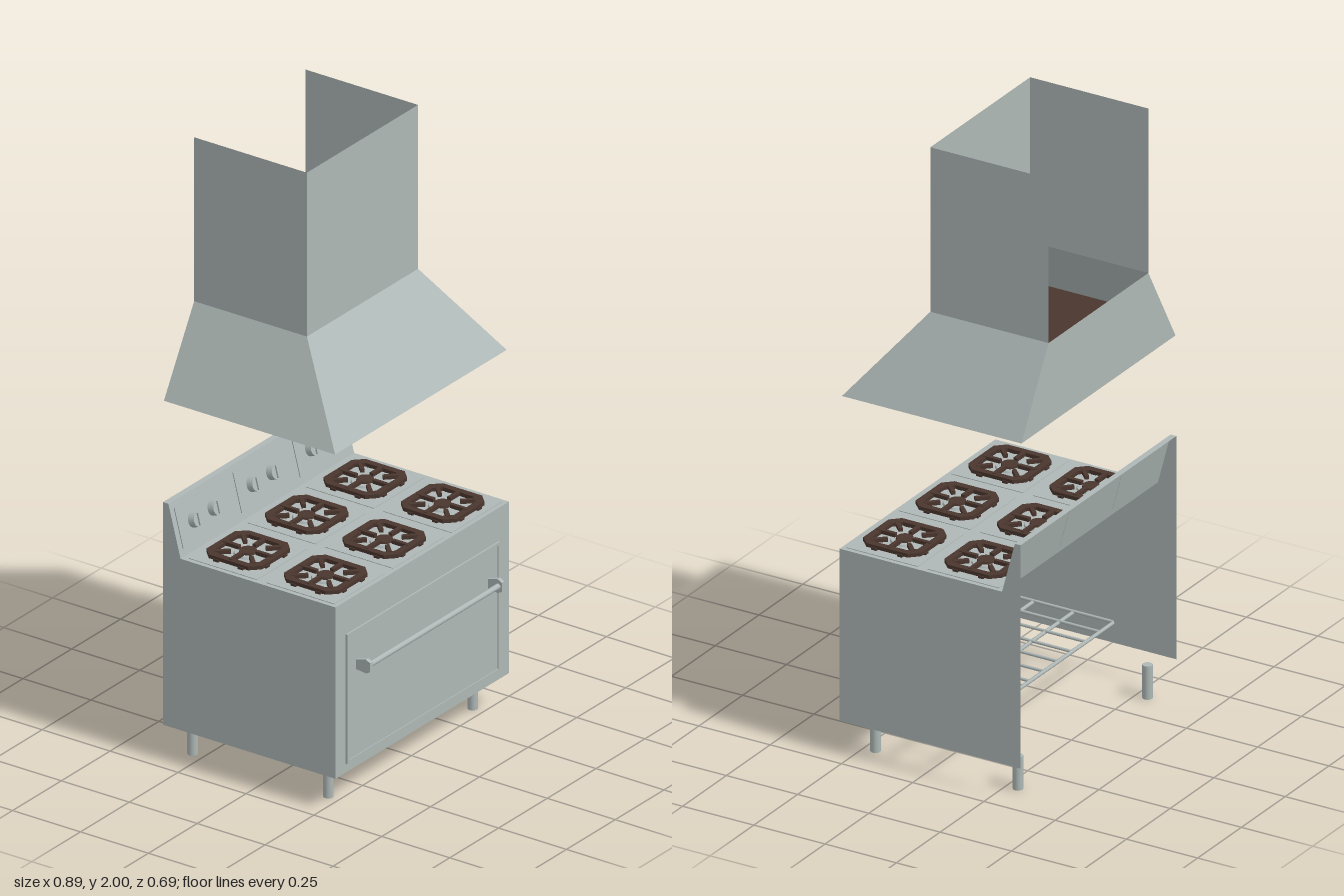
import * as THREE from 'three';

const steel = new THREE.MeshStandardMaterial({ color: 0xaeb8b6, side: THREE.DoubleSide });
steel.name = 'steel';
const iron = new THREE.MeshStandardMaterial({ color: 0x4a362e, side: THREE.DoubleSide });
iron.name = 'brown iron';

function add(parent, name, geo, mat, x = 0, y = 0, z = 0) {
  const m = new THREE.Mesh(geo, mat);
  m.name = name;
  m.position.set(x, y, z);
  parent.add(m);
  return m;
}

const box = (parent, name, w, h, d, x, y, z, mat = steel) =>
  add(parent, name, new THREE.BoxGeometry(w, h, d), mat, x, y, z);

// Flat sheet: a fan of triangles around the first corner
function sheet(parent, name, pts) {
  const pos = [];
  for (let i = 1; i < pts.length - 1; i++) pos.push(...pts[0], ...pts[i], ...pts[i + 1]);
  const g = new THREE.BufferGeometry();
  g.setAttribute('position', new THREE.Float32BufferAttribute(pos, 3));
  g.computeVertexNormals();
  return add(parent, name, g, steel);
}

// Rectangular border in the local xy plane
function border(parent, name, w, h, t, d, x, y, z) {
  for (const s of [-1, 1]) {
    box(parent, name, w, t, d, x, y + s * (h - t) / 2, z);
    box(parent, name, t, h - 2 * t, d, x + s * (w - t) / 2, y, z);
  }
}

function group(parent, name, x = 0, y = 0, z = 0) {
  const g = new THREE.Group();
  g.name = name;
  g.position.set(x, y, z);
  parent.add(g);
  return g;
}

// Outline of a square with chamfered corners
function chamfered(P, half, cut) {
  const a = half, b = half - cut;
  return new P([[a, -b], [a, b], [b, a], [-b, a], [-a, b], [-a, -b], [-b, -a], [b, -a]]
    .map(p => new THREE.Vector2(...p)));
}

// Grate with its burner
function burner(parent, x, z) {
  const g = group(parent, 'burner', x, 0.68, z);
  const frame = chamfered(THREE.Shape, 0.102, 0.03);
  frame.holes.push(chamfered(THREE.Path, 0.08, 0.024));
  const geo = new THREE.ExtrudeGeometry(frame, { depth: 0.012, bevelEnabled: false });
  geo.rotateX(-Math.PI / 2);
  add(g, 'grateFrame', geo, iron, 0, 0.006, 0);
  for (let i = 0; i < 8; i++) {
    const arm = group(g, 'grateArm');
    arm.rotation.y = i * Math.PI / 4;
    const long = i % 2 === 0;
    box(arm, 'grateFinger', long ? 0.062 : 0.05, 0.012, 0.013, long ? 0.062 : 0.078, 0.014, 0, iron);
    if (long) {
      box(arm, 'grateFoot', 0.02, 0.01, 0.018, 0.095, 0.005, 0.045, iron);
      box(arm, 'grateFoot', 0.02, 0.01, 0.018, 0.095, 0.005, -0.045, iron);
    }
  }
  add(g, 'burnerBase', new THREE.CylinderGeometry(0.042, 0.046, 0.008, 20), steel, 0, 0.004, 0);
  add(g, 'burnerCap', new THREE.CylinderGeometry(0.026, 0.028, 0.008, 20), iron, 0, 0.011, 0);
}

function buildStove() {
  const stove = new THREE.Group();
  stove.name = 'stove';
  const W = 0.445, F = 0.29, B = -0.345;

  // Open-backed shell
  for (const s of [-1, 1]) {
    sheet(stove, 'sidePanel', [[B, 0.11], [F, 0.11], [F, 0.68], [-0.28, 0.68], [-0.325, 0.85], [B, 0.85]]
      .map(([z, y]) => [s * W, y, z]));
  }
  sheet(stove, 'frontPanel', [[-W, 0.11, F], [W, 0.11, F], [W, 0.68, F], [-W, 0.68, F]]);
  sheet(stove, 'cooktop', [[-W, 0.68, F], [W, 0.68, F], [W, 0.68, -0.28], [-W, 0.68, -0.28]]);
  sheet(stove, 'splashbackTop', [[-W, 0.85, -0.325], [W, 0.85, -0.325], [W, 0.85, B], [-W, 0.85, B]]);
  sheet(stove, 'splashback', [[-W, 0.68, -0.28], [W, 0.68, -0.28], [W, 0.85, -0.325], [-W, 0.85, -0.325]]);

  // Burners over shallow pans
  for (const x of [-0.3, 0, 0.3]) {
    for (const z of [0.15, -0.135]) {
      box(stove, 'burnerPan', 0.26, 0.012, 0.25, x, 0.676, z);
      burner(stove, x, z);
    }
  }

  // Knobs on the sloping splashback
  const panel = group(stove, 'controlPanel', 0, 0.68, -0.28);
  panel.rotation.x = -Math.atan2(0.045, 0.17);
  for (const x of [-0.3, 0, 0.3]) {
    box(panel, 'knobPlate', 0.25, 0.13, 0.004, x, 0.09, 0.001);
    for (const s of [-1, 1]) {
      const knob = add(panel, 'knob', new THREE.CylinderGeometry(0.024, 0.027, 0.022, 20), steel, x + s * 0.05, 0.092, 0.012);
      knob.rotation.x = Math.PI / 2;
      box(panel, 'knobGrip', 0.008, 0.04, 0.006, x + s * 0.05, 0.092, 0.025);
    }
  }

  // Oven door and handle
  box(stove, 'ovenDoor', 0.765, 0.41, 0.004, 0, 0.355, F + 0.001);
  border(stove, 'doorBorder', 0.785, 0.43, 0.01, 0.008, 0, 0.355, F + 0.002);
  const bar = add(stove, 'handleBar', new THREE.CylinderGeometry(0.009, 0.009, 0.68, 14), steel, 0, 0.455, 0.331);
  bar.rotation.z = Math.PI / 2;
  for (const s of [-1, 1]) {
    const shape = new THREE.Shape([[0.29, 0.437], [0.33, 0.432], [0.345, 0.44], [0.345, 0.47], [0.33, 0.478], [0.29, 0.468]]
      .map(([z, y]) => new THREE.Vector2(-z, y)));
    const geo = new THREE.ExtrudeGeometry(shape, { depth: 0.013, bevelEnabled: false });
    geo.rotateY(Math.PI / 2);
    add(stove, 'handleBracket', geo, steel, s * 0.338 - 0.0065, 0, 0);
  }

  // Legs
  for (const x of [-0.37, 0.37]) {
    for (const z of [0.21, -0.29]) {
      add(stove, 'leg', new THREE.CylinderGeometry(0.016, 0.016, 0.11, 12), steel, x, 0.055, z);
    }
  }

  // Oven rack
  const rack = group(stove, 'ovenRack', 0, 0.2, 0.06);
  for (let i = 0; i < 4; i++) {
    const rail = add(rack, 'rackRail', new THREE.CylinderGeometry(0.006, 0.006, 0.8, 8), steel, 0, 0, -0.21 + i * 0.14);
    rail.rotation.z = Math.PI / 2;
  }
  for (let i = 0; i < 11; i++) {
    const rod = add(rack, 'rackRod', new THREE.CylinderGeometry(0.005, 0.005, 0.42, 8), steel, -0.4 + i * 0.08, 0.004, 0);
    rod.rotation.x = Math.PI / 2;
  }
  return stove;
}

function buildHood() {
  const hood = new THREE.Group();
  hood.name = 'hood';
  const B = -0.345;
  // Corner loops: back left, front left, front right, back right
  const loop = (w, y, f) => [[w, y, B], [w, y, f], [-w, y, f], [-w, y, B]];
  const low = loop(0.44, 1.185, 0.285), mid = loop(0.285, 1.455, 0.07), top = loop(0.285, 2, 0.07);
  for (let i = 0; i < 4; i++) {
    const j = (i + 1) % 4;
    sheet(hood, 'canopyPanel', [low[j], low[i], mid[i], mid[j]]);
    // The chimney has no back
    if (i < 3) sheet(hood, 'chimneyPanel', [mid[j], mid[i], top[i], top[j]]);
  }

  // Filter inside the canopy
  box(hood, 'filter', 0.77, 0.008, 0.535, 0, 1.264, -0.0575, iron);
  box(hood, 'filterRail', 0.77, 0.012, 0.018, 0, 1.264, -0.335);
  return hood;
}

export function createModel() {
  const model = new THREE.Group();
  model.name = 'stoveWithHood';
  model.add(buildStove(), buildHood());
  return model;
}
